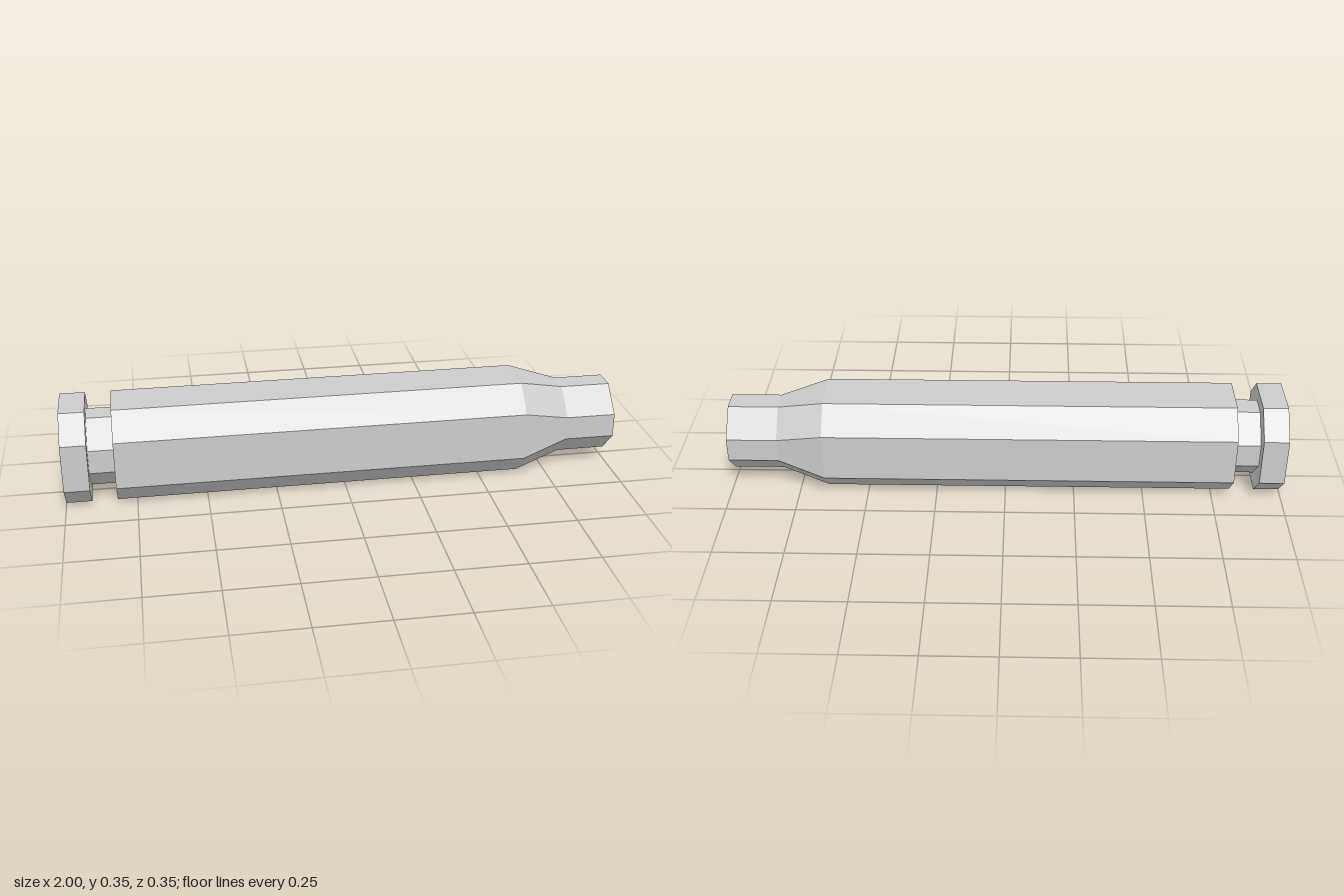
import * as THREE from 'three';

const AXIS_Y = 0.174; // height of the long axis
const CUT = 0.087;    // corner cut of the eight-sided section

// Ring of 8 points [x, y, z]: h = half width, c = half length of each flat side.
// c = h gives a square, c = 0 gives a diamond.
const ring = (x, h, c) => [
  [h, -c], [h, c], [c, h], [-c, h], [-h, c], [-h, -c], [-c, -h], [c, -h],
].map(([y, z]) => new THREE.Vector3(x, y + AXIS_Y, z));

const octagon = (x, h) => ring(x, h, h - CUT);
const point = (x) => ring(x, 0, 0);

// Skin consecutive rings with flat faces, skipping collapsed triangles
function loft(name, rings, material) {
  const points = [];
  const addTriangle = (a, b, c) => {
    if (new THREE.Triangle(a, b, c).getArea() > 1e-8) points.push(a, b, c);
  };
  for (let r = 0; r < rings.length - 1; r++) {
    const a = rings[r], b = rings[r + 1];
    for (let i = 0; i < 8; i++) {
      const j = (i + 1) % 8;
      addTriangle(a[i], a[j], b[j]);
      addTriangle(a[i], b[j], b[i]);
    }
  }
  const geometry = new THREE.BufferGeometry().setFromPoints(points);
  geometry.computeVertexNormals();
  const mesh = new THREE.Mesh(geometry, material);
  mesh.name = name;
  return mesh;
}

export function createModel() {
  const group = new THREE.Group();
  group.name = 'cartridgeCase';
  const material = new THREE.MeshStandardMaterial({ color: 0xcccccc, flatShading: true });
  const wide = 0.174, narrow = 0.13, bore = 0.0435;

  // Rim, extraction groove, body, shoulder, neck and square bore
  group.add(loft('case', [
    point(-1),
    octagon(-1, wide), octagon(-0.91, wide),
    octagon(-0.91, narrow), octagon(-0.82, narrow),
    octagon(-0.82, wide), octagon(0.65, wide),
    octagon(0.82, narrow), octagon(1, narrow),
    ring(1, bore, bore), ring(0.82, bore, bore),
    point(0.82),
  ], material));

  // Diamond primer, almost flush with the base
  group.add(loft('primer', [
    point(-1.001), ring(-1.001, CUT, 0), ring(-0.98, CUT, 0), point(-0.98),
  ], material));

  return group;
}
